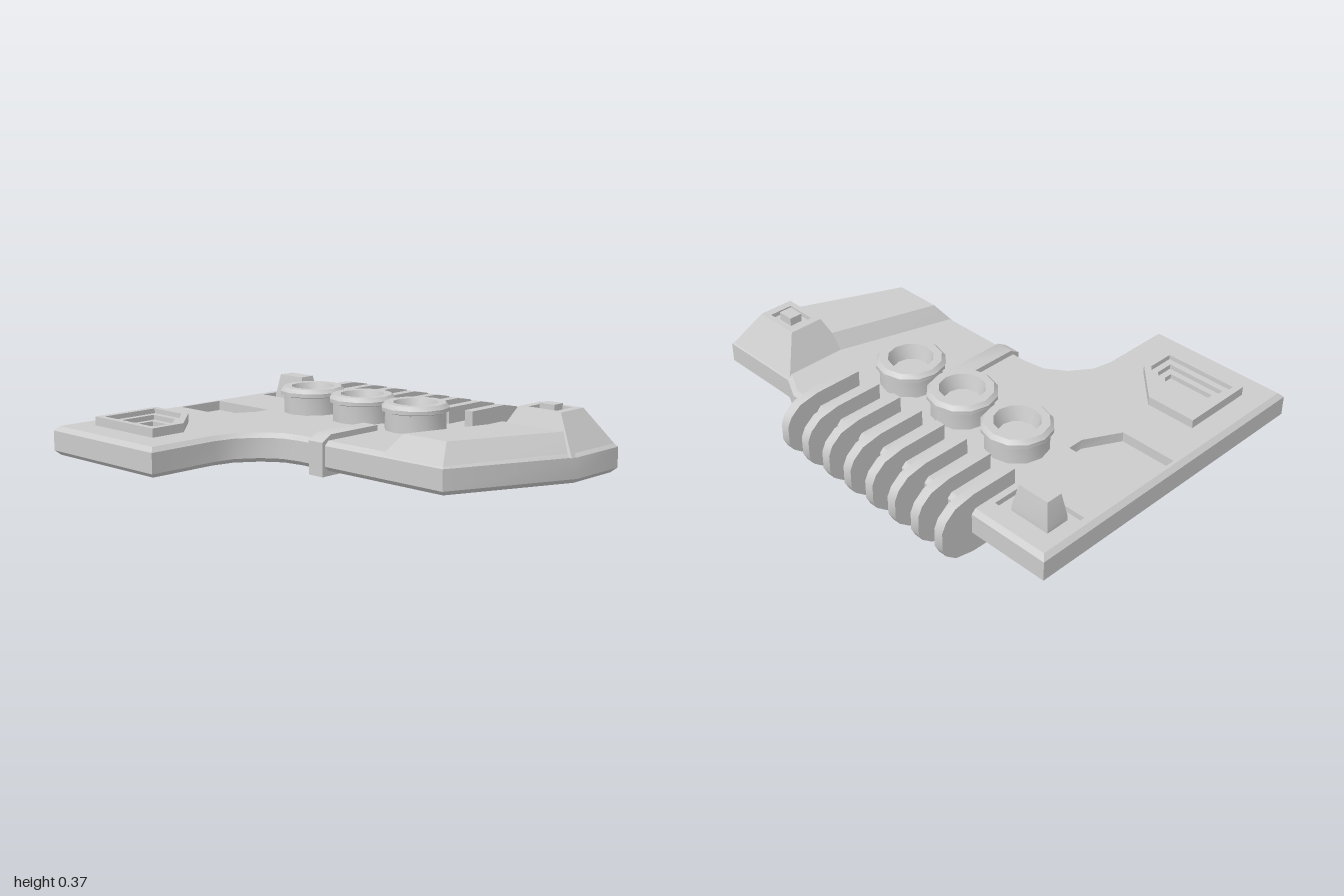
import * as THREE from 'three';
import { toCreasedNormals } from 'three/addons/utils/BufferGeometryUtils.js';

const material = new THREE.MeshStandardMaterial({ color: 0xcccccc });

// Outlines are [x, z] lists; ccw() orders them anticlockwise seen from above.
const flat = (pts) => pts.map(([x, z]) => new THREE.Vector2(x, -z));
const ccw = (pts) => (THREE.ShapeUtils.area(flat(pts)) < 0 ? [...pts].reverse() : pts);
const rect = (x0, x1, z0, z1) => ccw([[x0, z0], [x0, z1], [x1, z1], [x1, z0]]);

// Move every edge of an outline inwards by d
function inset(pts, d) {
  const p = flat(pts), n = p.length;
  return p.map((c, i) => {
    const u = c.clone().sub(p[(i + n - 1) % n]).normalize();
    const v = p[(i + 1) % n].clone().sub(c).normalize();
    const a = new THREE.Vector2(-u.y, u.x), b = new THREE.Vector2(-v.y, v.x);
    const k = d / (1 + a.dot(b));
    return [c.x + (a.x + b.x) * k, -(c.y + (a.y + b.y) * k)];
  });
}

// Walls through a list of [outline, y] rings, capped on the last ring
// (with optional holes) and on the first one if closed.
// Rings that go down again form the inside of a recess.
function loft(rings, { closed = true, holes = [] } = {}) {
  const pos = [];
  const put = (...vs) => vs.forEach(([[x, z], y]) => pos.push(x, y, z));
  for (let k = 0; k + 1 < rings.length; k++) {
    const [a, ya] = rings[k], [b, yb] = rings[k + 1];
    a.forEach((_, i) => {
      const j = (i + 1) % a.length;
      put([a[i], ya], [a[j], ya], [b[j], yb]);
      put([a[i], ya], [b[j], yb], [b[i], yb]);
    });
  }
  const cap = ([pts, y], up, cut) => {
    const all = [...pts, ...cut.flat()];
    for (const f of THREE.ShapeUtils.triangulateShape(flat(pts), cut.map(flat))) {
      const [i, j, k] = up ? f : [f[0], f[2], f[1]];
      put([all[i], y], [all[j], y], [all[k], y]);
    }
  };
  cap(rings[rings.length - 1], true, holes);
  if (closed) cap(rings[0], false, []);
  const g = new THREE.BufferGeometry();
  g.setAttribute('position', new THREE.Float32BufferAttribute(pos, 3));
  return g;
}

// Side profile in x, y extruded along z, centred on z
function sideProfile(pts, z, width) {
  const shape = new THREE.Shape(pts.map(([x, y]) => new THREE.Vector2(x, y)));
  const g = new THREE.ExtrudeGeometry(shape, { depth: width, bevelEnabled: false });
  return g.translate(0, 0, z - width / 2);
}

export function createModel() {
  const group = new THREE.Group();
  const add = (name, geometry) => {
    const mesh = new THREE.Mesh(toCreasedNormals(geometry, 0.56), material);
    mesh.name = name;
    group.add(mesh);
    return mesh;
  };
  const TOP = 0.21;

  // Main plate with chamfered rims and three openings in its top
  const plate = ccw([
    [-0.825, -1], [0.67, -1], [0.67, 0.48], [0.615, 0.59], [0.615, 1], [0.32, 1], [-0.23, 0.75],
    [-0.23, -0.05], [-0.245, -0.14], [-0.3, -0.22], [-0.39, -0.285], [-0.49, -0.305], [-0.825, -0.305],
  ]);
  const notch = ccw([[-0.12, -0.965], [0.115, -0.965], [0.115, -0.615], [0.04, -0.615], [-0.12, -0.7]]);
  const knobPocket = rect(0.395, 0.575, -0.95, -0.65);
  const frame = ccw([[-0.685, -0.88], [-0.345, -0.88], [-0.345, -0.645], [-0.515, -0.475], [-0.685, -0.475]]);
  const frameHole = inset(frame, 0.03);
  add('plate', loft(
    [[inset(plate, 0.02), 0.08], [plate, 0.1], [plate, 0.19], [inset(plate, 0.02), TOP]],
    { holes: [notch, knobPocket, frameHole] },
  ));
  add('notchRecess', loft([[notch, TOP], [notch, 0.165]], { closed: false }));

  // Raised frame that steps down inside
  const steps = [[frame, TOP], [frame, 0.25]];
  for (let i = 1; i <= 3; i++) {
    const ring = inset(frame, 0.03 * i);
    steps.push([ring, 0.25 - 0.022 * (i - 1)], [ring, 0.25 - 0.022 * i]);
  }
  add('steppedFrame', loft(steps, { closed: false }));

  // Tapered knob standing in a sunken pocket
  add('knobPocket', loft([[knobPocket, TOP], [knobPocket, 0.185]], { closed: false }));
  const knobBase = rect(0.43, 0.54, -0.895, -0.705);
  add('knob', loft([[knobBase, 0.18], [knobBase, TOP], [rect(0.447, 0.523, -0.875, -0.725), 0.315]]));

  // Sloped front block
  add('frontBlock', loft([
    [ccw([[-0.228, 0.42], [0.33, 0.585], [0.33, 0.995], [0.32, 0.995], [-0.228, 0.748]]), 0.19],
    [ccw([[-0.16, 0.485], [0.335, 0.635], [0.335, 0.927], [0.325, 0.923], [-0.16, 0.71]]), 0.285],
  ]));

  // Tower on the front block, with a button sunk in its top
  const buttonPocket = rect(0.38, 0.49, 0.705, 0.85);
  add('tower', loft(
    [[rect(0.285, 0.613, 0.58, 0.995), 0.19], [rect(0.355, 0.515, 0.67, 0.887), 0.355]],
    { holes: [buttonPocket] },
  ));
  add('buttonPocket', loft([[buttonPocket, 0.355], [buttonPocket, 0.335]], { closed: false }));
  add('button', loft([[rect(0.405, 0.465, 0.742, 0.818), 0.33], [rect(0.405, 0.465, 0.742, 0.818), 0.372]]));

  // Three round sockets with a wider lip and a hollow centre
  const socket = [
    [0.138, 0.2], [0.138, 0.29], [0.153, 0.295], [0.153, 0.312], [0.137, 0.33],
    [0.1, 0.33], [0.08, 0.265], [0, 0.265],
  ].map(([r, y]) => new THREE.Vector2(r, y));
  for (let i = 0; i < 3; i++) {
    add('socket', new THREE.LatheGeometry(socket, 12)).position.set(0.245, 0, -0.445 + 0.32 * i);
  }

  // Row of rounded ribs around the left edge
  const rib = [
    [0.435, 0], [0.66, 0], [0.755, 0.02], [0.805, 0.06], [0.825, 0.1],
    [0.825, 0.185], [0.805, 0.225], [0.755, 0.265], [0.66, 0.283], [0.435, 0.283],
  ];
  for (let i = 0; i < 8; i++) add('rib', sideProfile(rib, -0.597 + 0.134 * i, 0.044));

  // Strap around the right edge
  const strap = [[-0.245, 0.057], [0.095, 0.057], [0.095, 0.235], [-0.195, 0.235], [-0.245, 0.205]];
  add('strap', sideProfile(strap, 0.065, 0.082));

  return group;
}
